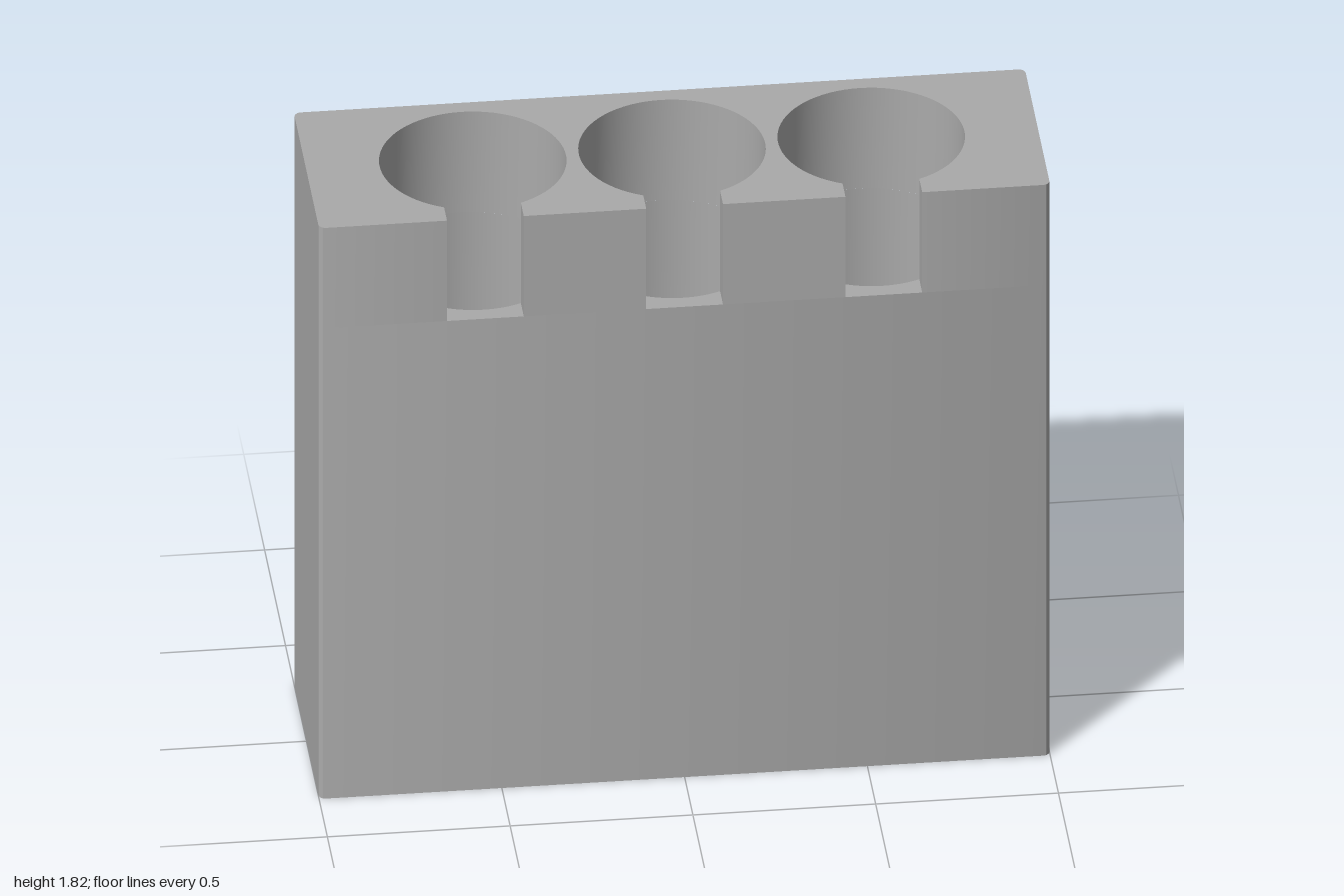
import * as THREE from 'three';
import { mergeGeometries, toCreasedNormals } from 'three/addons/utils/BufferGeometryUtils.js';

const W = 1, D = 0.302, H = 1.82;        // half width, half depth, height
const CORNER = 0.02;                     // rounding of the upright edges
const HOLES = [-0.545, 0, 0.545];        // hole centres along x
const R = 0.255, FLOOR = 0.1;            // hole radius and floor height
const SLOT = 0.105, SLOT_Y = 1.5;        // slot half width and floor height
const SPREAD = Math.asin(SLOT / R);      // half angle of the slot seen from the hole centre
const SLOT_S = -R * Math.cos(SPREAD);    // where a slot side meets the hole
const DOWN = -Math.PI / 2;

// Plan outline (x, -z), counterclockwise, optionally cut by the slots and holes
function outline(notched) {
  const s = new THREE.Shape();
  const x = W - CORNER, y = D - CORNER, q = Math.PI / 2;
  s.moveTo(-x, -D);
  if (notched) {
    for (const c of HOLES) {
      s.lineTo(c - SLOT, -D);
      s.lineTo(c - SLOT, SLOT_S);
      s.absarc(c, 0, R, DOWN - SPREAD, DOWN + SPREAD - 2 * Math.PI, true);
      s.lineTo(c + SLOT, -D);
    }
  }
  s.lineTo(x, -D);
  s.absarc(x, -y, CORNER, -q, 0, false);
  s.absarc(x, y, CORNER, 0, q, false);
  s.absarc(-x, y, CORNER, q, 2 * q, false);
  s.absarc(-x, -y, CORNER, 2 * q, 3 * q, false);
  return s;
}

// Full circle of one hole
function circle(c, clockwise) {
  const end = clockwise ? -2 * Math.PI : 2 * Math.PI;
  return new THREE.Shape().absarc(c, 0, R, 0, end, clockwise);
}

// Small ledge between the front face and the hole
function ledge(c) {
  const s = new THREE.Shape();
  s.moveTo(c - SLOT, -D);
  s.lineTo(c + SLOT, -D);
  s.lineTo(c + SLOT, SLOT_S);
  s.absarc(c, 0, R, DOWN + SPREAD, DOWN - SPREAD, true);
  return s;
}

// Upright walls along a closed outline
function walls(shape, y0, y1) {
  const pts = shape.getPoints(32), pos = [];
  pts.forEach((a, i) => {
    const b = pts[(i + 1) % pts.length];
    if (a.distanceTo(b) < 1e-5) return;
    pos.push(a.x, y0, -a.y, b.x, y0, -b.y, b.x, y1, -b.y);
    pos.push(a.x, y0, -a.y, b.x, y1, -b.y, a.x, y1, -a.y);
  });
  const g = new THREE.BufferGeometry();
  g.setAttribute('position', new THREE.Float32BufferAttribute(pos, 3));
  return g;
}

// Flat face at height y, looking up or down
function face(shape, y, up = true) {
  const g = new THREE.ShapeGeometry(shape, 32).toNonIndexed();
  g.deleteAttribute('uv');
  g.deleteAttribute('normal');
  return g.rotateX(up ? -Math.PI / 2 : Math.PI / 2).translate(0, y, 0);
}

export function createModel() {
  const group = new THREE.Group();
  group.name = 'tubeHolder';
  const grey = new THREE.MeshStandardMaterial({ color: 0xaaaaaa });
  grey.name = 'grey';

  const add = (name, parts) => {
    const g = mergeGeometries(parts);
    g.computeVertexNormals();
    const mesh = new THREE.Mesh(toCreasedNormals(g, 0.6), grey);
    mesh.name = name;
    group.add(mesh);
  };

  // Block: lower walls, notched upper walls, top and underside
  add('block', [
    walls(outline(false), 0, SLOT_Y),
    walls(outline(true), SLOT_Y, H),
    face(outline(true), H),
    face(outline(false), 0, false),
    ...HOLES.map((c) => face(ledge(c), SLOT_Y)),
  ]);

  // Holes: walls below the slots, and floors
  HOLES.forEach((c, i) => add('hole' + (i + 1), [
    walls(circle(c, true), FLOOR, SLOT_Y),
    face(circle(c, false), FLOOR),
  ]));

  return group;
}
